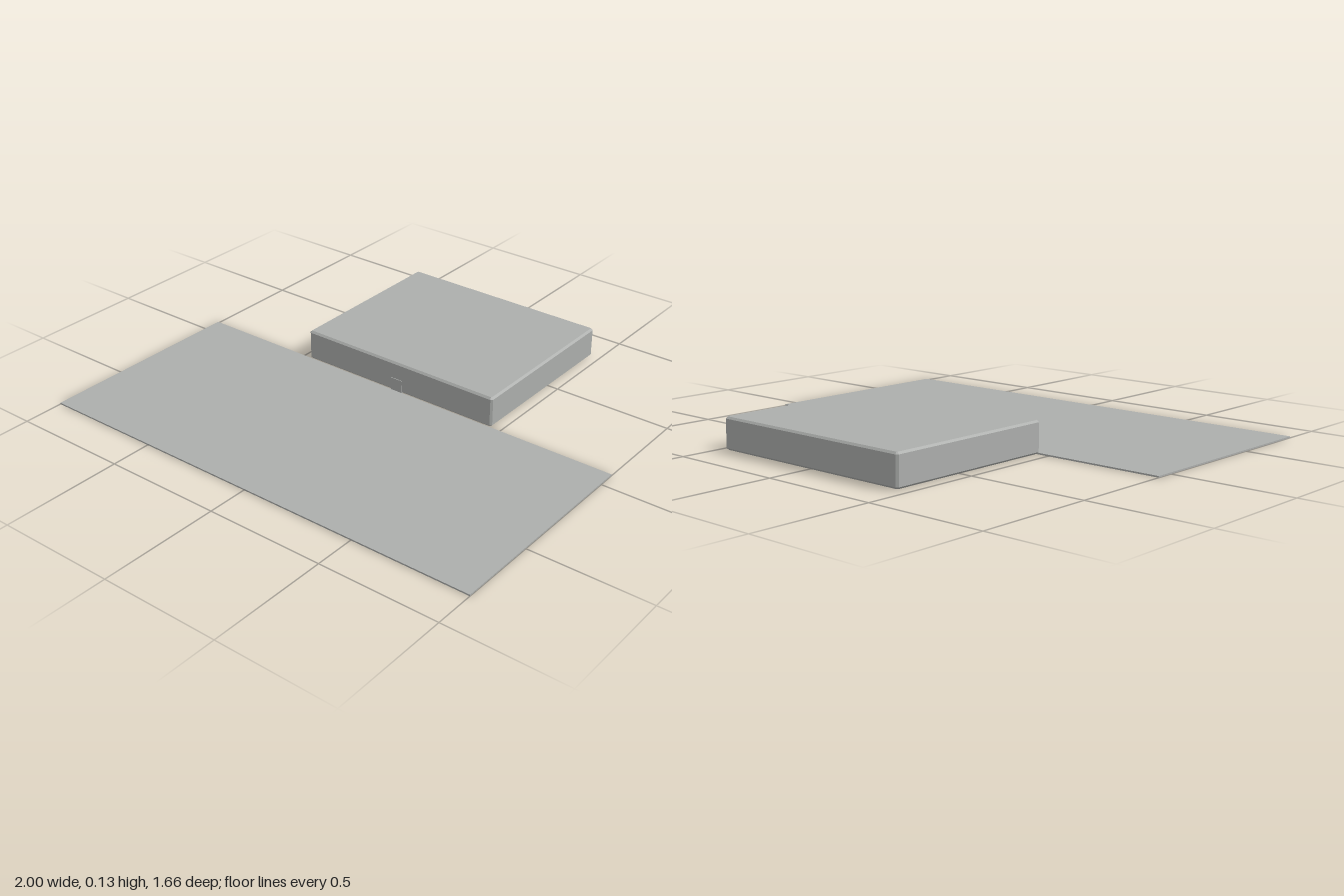
import * as THREE from 'three';

// Box with chamfered edges: an extruded footprint with cut corners and one bevel step
function chamferedBox(width, height, depth, c) {
  const x = width / 2 - c, z = depth / 2 - c, k = c * 0.4;
  const s = new THREE.Shape();
  s.moveTo(-x + k, -z);
  s.lineTo(x - k, -z);
  s.lineTo(x, -z + k);
  s.lineTo(x, z - k);
  s.lineTo(x - k, z);
  s.lineTo(-x + k, z);
  s.lineTo(-x, z - k);
  s.lineTo(-x, -z + k);
  s.closePath();
  const geo = new THREE.ExtrudeGeometry(s, {
    depth: height - 2 * c, bevelEnabled: true, bevelThickness: c, bevelSize: c, bevelSegments: 1,
  });
  geo.rotateX(-Math.PI / 2);
  geo.translate(0, c, 0);
  return geo;
}

export function createModel() {
  const model = new THREE.Group();
  const grey = new THREE.MeshStandardMaterial({ color: 0xadafad });
  grey.name = 'grey';

  function add(name, geometry, x, y, z) {
    const mesh = new THREE.Mesh(geometry, grey);
    mesh.name = name;
    mesh.position.set(x, y, z);
    model.add(mesh);
  }

  // Thin wide slab in front
  add('frontSlab', new THREE.BoxGeometry(2, 0.006, 0.905), 0, 0.003, 0.378);

  // Low block behind the slab
  add('block', chamferedBox(0.925, 0.13, 0.755, 0.008), 0, 0.004, -0.4525);

  // Small square plate on the block's front face
  add('frontPlate', new THREE.BoxGeometry(0.056, 0.054, 0.004), 0, 0.034, -0.074);

  return model;
}
